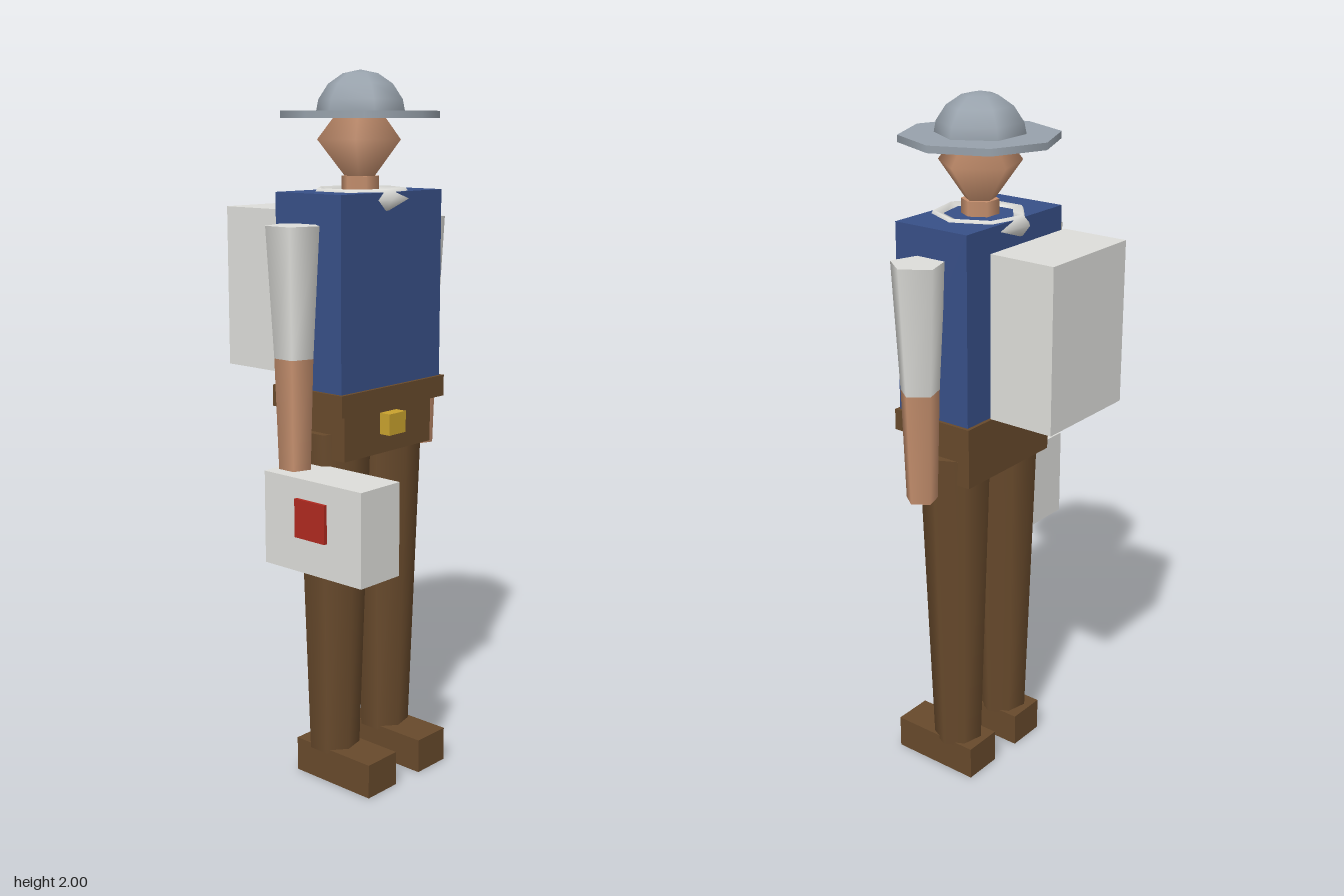
import * as THREE from 'three';

export function createModel() {
  const mat = (name, color) => {
    const m = new THREE.MeshStandardMaterial({ color });
    m.name = name;
    return m;
  };
  const white = mat('off white', 0xdededa);
  const blue = mat('navy blue', 0x385088);
  const brown = mat('brown', 0x684a2c);
  const skin = mat('skin', 0xc6906e);
  const grey = mat('slate grey', 0x98a2ac);
  const gold = mat('gold', 0xc9a22e);
  const red = mat('red', 0xb02a20);

  const model = new THREE.Group();
  model.name = 'travellingFigure';
  // the body's own axis
  const CX = 0.0045, CZ = 0.025;

  const add = (name, geometry, material, x, y, z) => {
    const mesh = new THREE.Mesh(geometry, material);
    mesh.name = name;
    mesh.position.set(x, y, z);
    model.add(mesh);
    return mesh;
  };
  // box between two corners
  const box = (name, material, [x0, x1], [y0, y1], [z0, z1]) =>
    add(name, new THREE.BoxGeometry(x1 - x0, y1 - y0, z1 - z0), material,
      (x0 + x1) / 2, (y0 + y1) / 2, (z0 + z1) / 2);
  // tapered column with one corner pointing to +x
  const column = (name, material, x, [y0, y1], rBottom, rTop, sides) =>
    add(name, new THREE.CylinderGeometry(rTop, rBottom, y1 - y0, sides).rotateY(Math.PI / 2),
      material, x, (y0 + y1) / 2, CZ);

  // torso, belt and hips
  box('vest', blue, [-0.203, 0.211], [1.155, 1.68], [-0.094, 0.144]);
  box('belt', brown, [-0.212, 0.221], [1.095, 1.155], [-0.104, 0.154]);
  box('hips', brown, [-0.178, 0.187], [0.965, 1.095], [-0.078, 0.132]);
  box('buckle', gold, [-0.032, 0.037], [1.02, 1.08], [0.125, 0.167]);

  // limbs, in mirrored pairs
  for (const [side, s] of [['left', 1], ['right', -1]]) {
    const armX = CX + s * 0.261, legX = CX + s * 0.11;
    column(side + 'Sleeve', white, armX, [1.25, 1.6], 0.055, 0.075, 5);
    column(side + 'Forearm', skin, armX, [0.935, 1.25], 0.045, 0.055, 5);
    column(side + 'Leg', brown, legX, [0.09, 1.035], 0.073, 0.104, 7);
    box(side + 'Shoe', brown, [legX - 0.059, legX + 0.059], [0, 0.1], [-0.067, 0.211]);
  }

  // collar, neck and head
  add('collar', new THREE.TorusGeometry(0.115, 0.03, 5, 7).rotateX(Math.PI / 2), white, CX, 1.66, CZ);
  column('neck', skin, CX, [1.64, 1.72], 0.052, 0.052, 6);
  add('head', new THREE.SphereGeometry(0.119, 5, 2).rotateY(Math.PI).scale(1, 1.28, 1),
    skin, CX, 1.817, CZ);

  // hat
  column('hatBrim', grey, CX, [1.873, 1.892], 0.216, 0.216, 8);
  add('hatCrown', new THREE.SphereGeometry(0.126, 6, 4, 0, Math.PI * 2, 0, Math.PI / 2),
    grey, CX, 1.874, CZ);

  // luggage
  box('backpack', white, [-0.158, 0.168], [1.18, 1.63], [-0.333, -0.137]);
  box('carryCase', white, [-0.332, -0.181], [0.69, 0.947], [-0.018, 0.33]);
  box('casePanel', red, [-0.342, -0.332], [0.787, 0.893], [0.102, 0.21]);

  return model;
}
